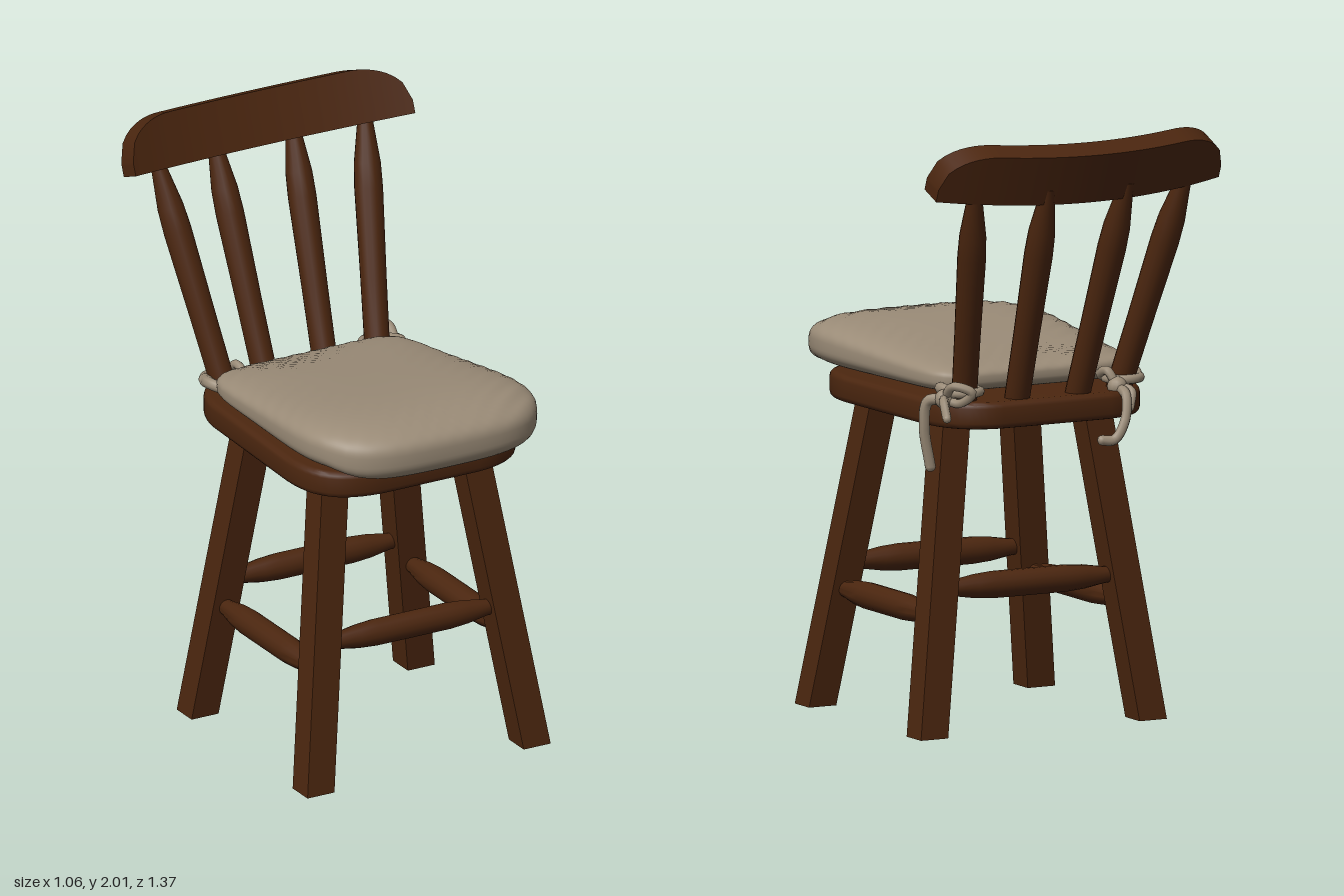
import * as THREE from 'three';
import { mergeVertices, toCreasedNormals } from 'three/addons/utils/BufferGeometryUtils.js';

const V = (x, y, z) => new THREE.Vector3(x, y, z);
const { lerp, smoothstep, clamp } = THREE.MathUtils;

export function createModel() {
  const model = new THREE.Group();
  model.name = 'cushionedChair';

  const wood = new THREE.MeshStandardMaterial({ color: 0x4b260f });
  wood.name = 'dark wood';
  const fabric = new THREE.MeshStandardMaterial({ color: 0x9a8b77 });
  fabric.name = 'beige fabric';

  function add(name, geometry, material = wood) {
    const mesh = new THREE.Mesh(geometry, material);
    mesh.name = name;
    model.add(mesh);
    return mesh;
  }

  // Moves every vertex of a geometry by a rule
  function reshape(geometry, rule) {
    const p = geometry.attributes.position;
    const v = V(0, 0, 0);
    for (let i = 0; i < p.count; i++) {
      rule(v.fromBufferAttribute(p, i));
      p.setXYZ(i, v.x, v.y, v.z);
    }
    return geometry;
  }

  // Turned bar between two points; profile is [radius, fraction of length]
  function turned(name, a, b, profile) {
    const dir = b.clone().sub(a);
    const length = dir.length();
    const points = profile.map(([r, t]) => new THREE.Vector2(r, t * length));
    const mesh = add(name, toCreasedNormals(new THREE.LatheGeometry(points, 14), 0.7));
    mesh.position.copy(a);
    mesh.quaternion.setFromUnitVectors(V(0, 1, 0), dir.normalize());
  }

  // Seat board with rounded corners and softened edge
  const outline = new THREE.Shape();
  outline.moveTo(-0.2, 0.39);
  outline.lineTo(0.2, 0.39);
  outline.bezierCurveTo(0.3, 0.38, 0.36, 0.32, 0.375, 0.2);
  outline.lineTo(0.39, -0.3);
  outline.bezierCurveTo(0.39, -0.47, 0.32, -0.53, 0.18, -0.54);
  outline.lineTo(-0.18, -0.54);
  outline.bezierCurveTo(-0.32, -0.53, -0.39, -0.47, -0.39, -0.3);
  outline.lineTo(-0.375, 0.2);
  outline.bezierCurveTo(-0.36, 0.32, -0.3, 0.38, -0.2, 0.39);
  const seat = new THREE.ExtrudeGeometry(outline, {
    depth: 0.05, bevelThickness: 0.02, bevelSize: 0.02, bevelSegments: 3, curveSegments: 12,
  });
  seat.rotateX(-Math.PI / 2).translate(0, 1.05, 0);
  add('seat', toCreasedNormals(seat, 0.6));

  // Square splayed legs, slanted by shearing
  const legs = [['frontLeg', 0.495, 0.34], ['backLeg', -0.267, -0.155]];
  for (const side of [-1, 1]) {
    for (const [name, zFoot, zTop] of legs) {
      const leg = new THREE.BoxGeometry(0.102, 1.05, 0.098).translate(0, 0.525, 0);
      reshape(leg, v => {
        const t = v.y / 1.03;
        v.x += side * lerp(0.41, 0.265, t);
        v.z += lerp(zFoot, zTop, t);
      });
      leg.computeVertexNormals();
      add(name, leg);
    }
  }

  // Stretchers between the legs
  const stretcherProfile = [
    [0, 0], [0.022, 0], [0.029, 0.1], [0.04, 0.2], [0.045, 0.3],
    [0.045, 0.7], [0.04, 0.8], [0.029, 0.9], [0.022, 1], [0, 1],
  ];
  for (const [name, z] of [['frontStretcher', 0.423], ['backStretcher', -0.214]]) {
    turned(name, V(-0.34, 0.48, z), V(0.34, 0.48, z), stretcherProfile);
  }
  for (const side of [-1, 1]) {
    turned('sideStretcher', V(side * 0.354, 0.395, -0.225), V(side * 0.354, 0.395, 0.44), stretcherProfile);
  }

  // Back spindles
  const spindleProfile = [
    [0, 0], [0.042, 0], [0.044, 0.35], [0.048, 0.7], [0.045, 0.8], [0.028, 0.95], [0.026, 1], [0, 1],
  ];
  for (const side of [-1, 1]) {
    turned('outerSpindle', V(side * 0.285, 1.08, -0.285), V(side * 0.395, 1.86, -0.565), spindleProfile);
    turned('innerSpindle', V(side * 0.112, 1.08, -0.325), V(side * 0.148, 1.86, -0.615), spindleProfile);
  }

  // Curved, leaning top rail with rounded upper corners
  const railHeight = 0.18;
  const rail = new THREE.BoxGeometry(1.06, railHeight, 0.085, 48, 4, 2);
  reshape(rail, v => {
    const d = clamp((Math.abs(v.x) - 0.34) / 0.19, 0, 1);
    const drop = 0.135 * (1 - Math.sqrt(1 - d * d));
    const bottom = -railHeight / 2;
    v.y = bottom + (v.y - bottom) * (1 - drop / railHeight);
    v.z += 0.085 * (v.x / 0.53) ** 2;
  });
  rail.rotateX(-0.38).translate(0, 1.9, -0.617);
  add('topRail', toCreasedNormals(rail, 0.6));

  // Cushion: a sphere squared off in plan and section, thicker at the front
  const ball = new THREE.SphereGeometry(1, 96, 56);
  ball.deleteAttribute('uv');
  ball.deleteAttribute('normal');
  const cushion = mergeVertices(ball, 1e-5);
  reshape(cushion, v => {
    const r = Math.hypot(v.x, v.z);
    const c = r > 1e-6 ? v.x / r : 1;
    const s = r > 1e-6 ? v.z / r : 0;
    const n = s > 0 ? 4 : 8;
    const plan = Math.pow(r, 0.55) / Math.pow(Math.abs(c) ** n + Math.abs(s) ** n, 1 / n);
    const h = Math.sign(v.y) * Math.abs(v.y) ** 0.65;
    const f = (s * plan + 1) / 2;
    const z = lerp(-0.265, 0.68, f) - 0.02 * (c * plan) ** 2 * (f > 0.5 ? 1 : 0) * (2 * f - 1);
    const x = lerp(-0.02, 0.02, f) + c * plan * lerp(0.375, 0.43, smoothstep(f, 0, 0.85));
    const top = lerp(1.235, 1.3, smoothstep(f, 0, 0.85));
    const bottom = 1.115 - 0.035 * smoothstep(z, 0.5, 0.64);
    // fine diagonal creases
    const crease = 0.003 * Math.sin(75 * (x + z) + 2 * Math.sin(9 * x)) * smoothstep(r, 0.15, 0.7);
    v.set(x, (top + bottom) / 2 + h * (top - bottom) / 2 + (h > 0 ? crease * h : 0), z);
  });
  cushion.computeVertexNormals();
  add('cushion', cushion, fabric);

  // Fabric ties knotted around the outer spindles
  function strand(name, points, radius = 0.015) {
    const curve = new THREE.CatmullRomCurve3(points.map(p => V(...p)));
    add(name, new THREE.TubeGeometry(curve, 28, radius, 8), fabric);
    const tip = add(name + 'End', new THREE.SphereGeometry(radius, 8, 6), fabric);
    tip.position.set(...points[points.length - 1]);
  }
  for (const side of [-1, 1]) {
    const wrap = add('tieWrap', new THREE.TorusGeometry(0.058, 0.016, 8, 24), fabric);
    wrap.rotation.x = Math.PI / 2;
    wrap.position.set(side * 0.3, 1.15, -0.305);
    strand('tieStrap', [[side * 0.33, 1.15, -0.22], [side * 0.36, 1.16, -0.27], [side * 0.345, 1.15, -0.33]], 0.02);
  }
  const leftKnot = add('leftTieKnot', new THREE.SphereGeometry(0.033, 12, 10), fabric);
  leftKnot.position.set(0.37, 1.13, -0.31);
  strand('leftTieLoop', [[0.37, 1.13, -0.31], [0.37, 1.18, -0.37], [0.32, 1.16, -0.41], [0.34, 1.12, -0.36], [0.37, 1.13, -0.31]]);
  strand('leftTieTail', [[0.37, 1.13, -0.31], [0.41, 1.12, -0.27], [0.415, 1.03, -0.255], [0.39, 0.9, -0.25]], 0.019);
  strand('leftTieShortTail', [[0.37, 1.13, -0.31], [0.4, 1.13, -0.36], [0.41, 1.08, -0.4]]);

  const rightKnot = add('rightTieKnot', new THREE.SphereGeometry(0.033, 12, 10), fabric);
  rightKnot.position.set(-0.25, 1.13, -0.36);
  strand('rightTieLoop', [[-0.25, 1.13, -0.36], [-0.23, 1.18, -0.33], [-0.23, 1.16, -0.28], [-0.27, 1.14, -0.32], [-0.25, 1.13, -0.36]]);
  strand('rightTieTail', [[-0.25, 1.13, -0.36], [-0.25, 1.11, -0.42], [-0.23, 1.03, -0.45], [-0.19, 0.97, -0.45], [-0.15, 0.97, -0.44]], 0.017);
  strand('rightTieShortTail', [[-0.25, 1.13, -0.36], [-0.28, 1.12, -0.4], [-0.26, 1.07, -0.43]]);

  return model;
}
